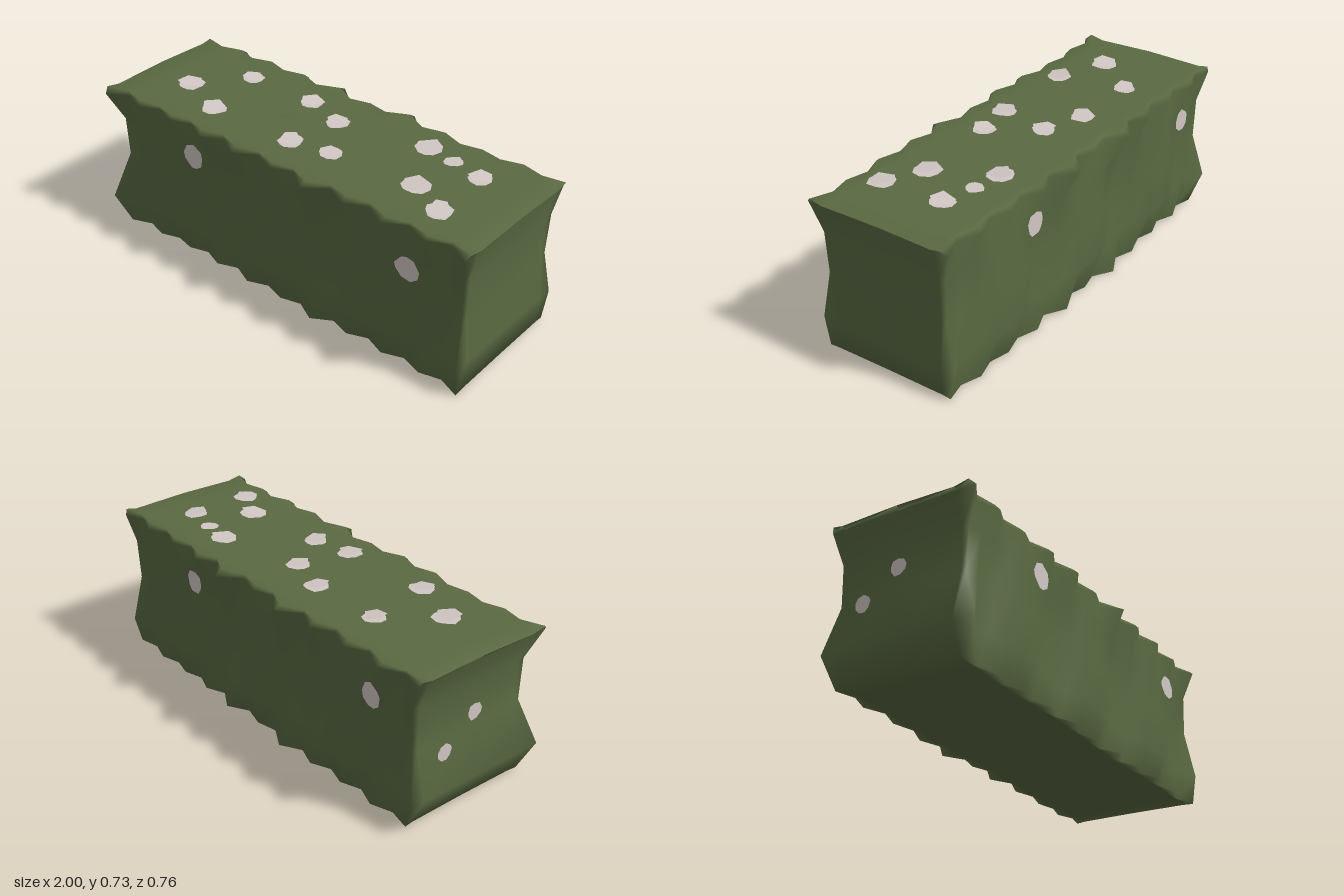
import * as THREE from 'three';
import { mergeVertices } from 'three/addons/utils/BufferGeometryUtils.js';

// small seeded generator
function seeded(seed) {
  let s = seed;
  return () => (s = (s * 16807) % 2147483647) / 2147483647;
}

const hedgeGreen = new THREE.MeshStandardMaterial({ color: 0x5a6a42 });
const petalWhite = new THREE.MeshStandardMaterial({ color: 0xd2c8c6, side: THREE.DoubleSide });
hedgeGreen.name = 'hedgeGreen';
petalWhite.name = 'petalWhite';

// Clipped block: grid rows are respaced, then rims zigzag and sides fold
function hedgeGeometry() {
  const rows = [0.008, 0.14, 0.36, 0.55, 0.685, 0.705];
  const depth = [-1, -0.84, 0, 0.84, 1];
  const endLeft = [-0.93, -0.99, -0.95, -0.95, -0.985, -1];
  const endRight = [0.965, 0.97, 0.965, 0.97, 0.98, 0.995];
  const rim = [0.325, 0.325, 0.325, 0.325, 0.36, 0.335];
  const valley = [0.285, 0.3, 0.3, 0.305, 0.3, 0.3];
  // spike strength at every second station, back then front
  const spikes = {
    '-1': [0.5, 0.9, 0.8, 0.9, 1.35, 0.6, 1.4, 0.9, 0.6, 0.7, 0.6],
    '1': [1, 0.7, 0.6, 0.9, 1, 0.65, 1.25, 0.8, 0.9, 0.7, 0.9],
  };
  const geo = new THREE.BoxGeometry(20, 5, 4, 20, 5, 4);
  geo.deleteAttribute('uv');
  geo.deleteAttribute('normal');
  const p = geo.attributes.position;
  for (let n = 0; n < p.count; n++) {
    const i = Math.round(p.getX(n) + 10);
    const j = Math.round(p.getY(n) + 2.5);
    const k = Math.round(p.getZ(n) + 2);
    const side = k < 2 ? -1 : 1;
    let x = THREE.MathUtils.lerp(endLeft[j], endRight[j], i / 20);
    let y = rows[j];
    // folds on the flanks, leafy points along the rims
    const fold = 0.022 * Math.cos((2 * Math.PI * (x + 0.6 * side)) / 0.58);
    let half;
    if (j > 0 && j < 4) {
      half = 0.308 + fold * (j === 3 ? 0.5 : 1);
      if (j === 1 && (i === 0 || i === 20)) half = side > 0 && i === 0 ? 0.37 : 0.34;
    } else {
      const peak = i % 2 === 0 ? spikes[side][i / 2] : 0;
      half = valley[j] + (rim[j] - valley[j]) * peak;
    }
    // inner rows stay straight; the top dips just inside the rim
    const z = Math.abs(depth[k]) === 1 ? side * half : depth[k] * 0.32;
    if (j === 5) y += k === 1 || k === 3 ? -0.01 : 0.004 * Math.sin(x * 9 + k);
    if (j === 0) y += 0.006 * (1 + Math.sin(x * 7 + k)) - 0.006;
    // ends bow in and out a little
    if (i === 0 || i === 20) x += k === 2 ? 0 : 0.012 * (i === 0 ? 1 : -1) * (j > 1 && j < 4 ? 1 : 0);
    p.setXYZ(n, x, Math.max(0, y), z);
  }
  const merged = mergeVertices(geo);
  merged.computeVertexNormals();
  return merged;
}

// Flat irregular blossom facing +z
function petalGeometry(sides, radius, rand, rough) {
  const pts = [];
  for (let i = 0; i < sides; i++) {
    const a = ((i + 0.4 * rand()) / sides) * Math.PI * 2;
    const r = radius * (1 - rough * rand());
    pts.push(new THREE.Vector2(Math.cos(a) * r, Math.sin(a) * r));
  }
  return new THREE.ShapeGeometry(new THREE.Shape(pts));
}

export function createModel() {
  const model = new THREE.Group();
  model.name = 'floweringHedge';
  const rand = seeded(4217);

  const body = new THREE.Mesh(hedgeGeometry(), hedgeGreen);
  body.name = 'hedgeBody';
  model.add(body);

  function addFlower(name, x, y, z, radius, rx, ry, layered) {
    const flower = new THREE.Group();
    flower.name = name;
    const disc = new THREE.Mesh(petalGeometry(9, radius, rand, 0.2), petalWhite);
    disc.name = 'petals';
    flower.add(disc);
    if (layered) {
      // second, tilted ring of petals
      const upper = new THREE.Mesh(petalGeometry(5, radius * 0.95, rand, 0.15), petalWhite);
      upper.name = 'upperPetals';
      upper.position.z = 0.012;
      upper.rotation.set((rand() - 0.5) * 0.25, (rand() - 0.5) * 0.25, rand() * 3);
      flower.add(upper);
    }
    flower.position.set(x, y, z);
    flower.rotation.set(rx, ry, 0);
    model.add(flower);
  }

  // blossoms on top: x, z, radius
  [
    [-0.54, -0.14, 0.055], [-0.19, -0.145, 0.058], [0.01, -0.08, 0.058],
    [0.435, -0.165, 0.068], [0.575, -0.145, 0.045], [0.73, -0.11, 0.058],
    [-0.72, 0.08, 0.068], [-0.48, 0.175, 0.062], [-0.04, 0.165, 0.062],
    [0.15, 0.13, 0.058], [0.565, 0.1, 0.066], [0.74, 0.185, 0.064],
  ].forEach(([x, z, r]) => addFlower('topFlower', x, 0.717, z, r, -Math.PI / 2, 0, r !== 0.045));

  // blossoms on the front and back
  addFlower('frontFlower', -0.46, 0.545, 0.333, 0.067, 0, 0, false);
  addFlower('frontFlower', 0.705, 0.51, 0.333, 0.064, 0, 0, false);
  addFlower('backFlower', 0.43, 0.55, -0.333, 0.06, 0, Math.PI, false);
  addFlower('backFlower', -0.74, 0.53, -0.333, 0.06, 0, Math.PI, false);

  // blossoms on the right end
  addFlower('endFlower', -0.972, 0.44, 0, 0.042, 0, -Math.PI / 2, false);
  addFlower('endFlower', -0.978, 0.32, -0.16, 0.042, 0, -Math.PI / 2, false);

  return model;
}
